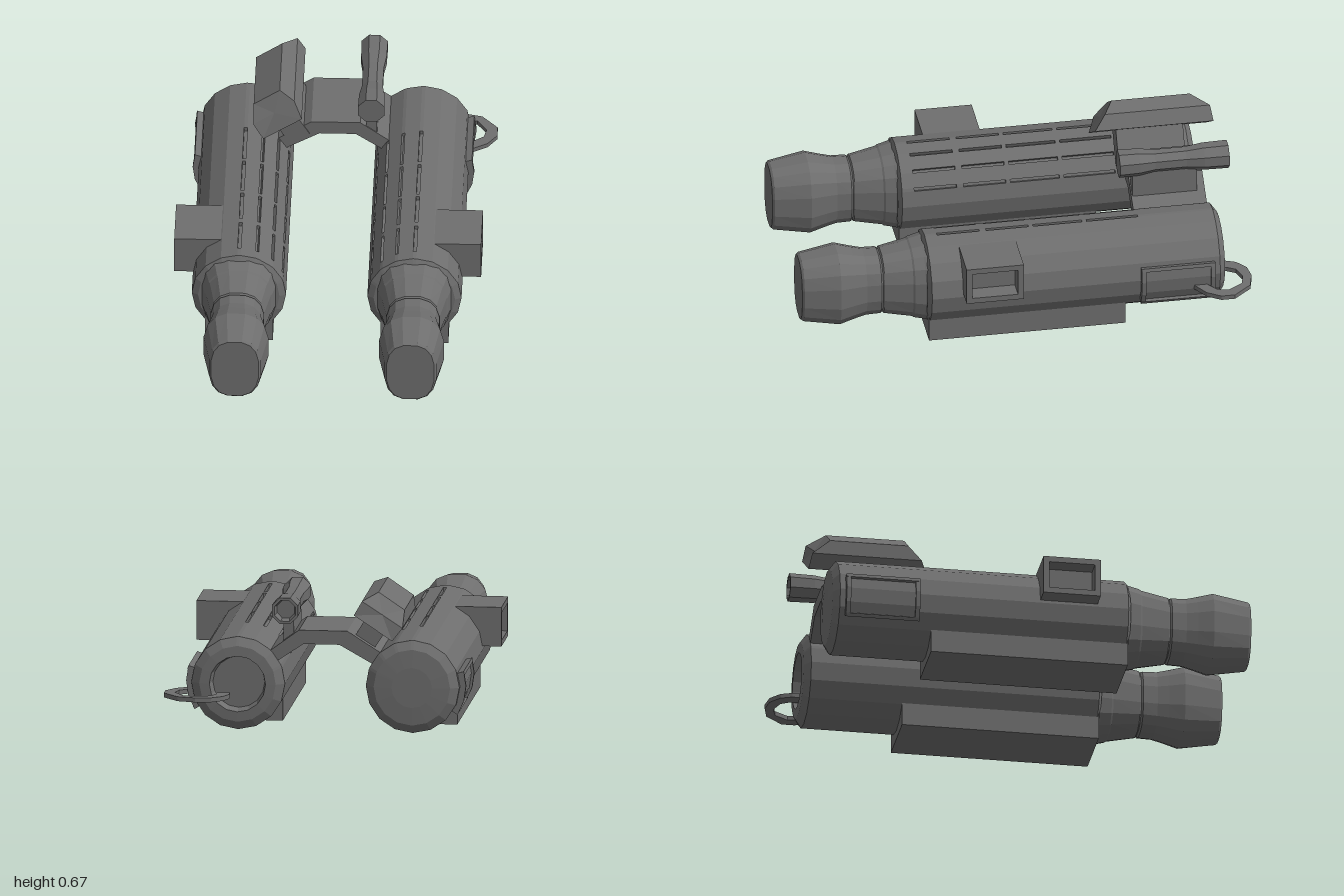
import * as THREE from 'three';

const gunmetal = new THREE.MeshStandardMaterial({ color: 0x6e6e6e, flatShading: true });
gunmetal.name = 'gunmetal grey';
const CY = 0.247, R = 0.208, DEG = Math.PI / 180;

function mesh(name, geometry, parent) {
  const m = new THREE.Mesh(geometry, gunmetal);
  m.name = name;
  parent.add(m);
  return m;
}

// Skin over rings of [x, y, z], counterclockwise seen from +z, ordered towards +z
function loft(rings) {
  const pos = [], n = rings[0].length;
  const mid = (r) => [0, 1, 2].map((k) => r.reduce((s, p) => s + p[k], 0) / n);
  const first = rings[0], last = rings[rings.length - 1], c0 = mid(first), c1 = mid(last);
  for (let i = 0; i < n; i++) {
    const j = (i + 1) % n;
    for (let k = 0; k + 1 < rings.length; k++) {
      const a = rings[k], b = rings[k + 1];
      pos.push(...a[i], ...a[j], ...b[j], ...a[i], ...b[j], ...b[i]);
    }
    pos.push(...c0, ...first[j], ...first[i], ...c1, ...last[i], ...last[j]);
  }
  const g = new THREE.BufferGeometry();
  g.setAttribute('position', new THREE.Float32BufferAttribute(pos, 3));
  g.computeVertexNormals();
  return g;
}

function prism(points, z0, z1, hole) {
  const s = new THREE.Shape(points.map((p) => new THREE.Vector2(...p)));
  if (hole) s.holes.push(new THREE.Path(hole.map((p) => new THREE.Vector2(...p))));
  return new THREE.ExtrudeGeometry(s, { depth: z1 - z0, bevelEnabled: false }).translate(0, 0, z0);
}

// Curved plate hugging the outer side of a tube
function sector(side, r, a0, a1, z0, z1) {
  const outer = [], inner = [];
  for (let i = 0; i <= 3; i++) {
    const a = (a0 + (a1 - a0) * i / 3) * DEG;
    outer.push([side * r * Math.cos(a), r * Math.sin(a)]);
    inner.unshift([side * 0.18 * Math.cos(a), 0.18 * Math.sin(a)]);
  }
  return prism([...outer, ...inner], z0, z1);
}

// 16-sided tube with four rows of sunken slots on its upper inner side
function tubeGeometry(side, recessed) {
  const ring = (z, r, cut) => {
    const pts = [];
    for (let k = 0; k < 16; k++) {
      const a = (90 + k * 22.5) * DEG;
      const row = side > 0 ? k : (16 - k) % 16;
      const put = (t, rad) => pts.push([rad * Math.cos(t), rad * Math.sin(t), z]);
      if (row < 4) {
        const w = 0.035, d = cut ? r - 0.018 : r;
        put(a - w, r); put(a - w, d); put(a + w, d); put(a + w, r);
      } else put(a, r);
    }
    return pts;
  };
  const rings = recessed ? [ring(-0.83, 0.115), ring(-0.885, 0.125)] : [ring(-0.888, 0.09)];
  rings.push(ring(-0.882, 0.17), ring(-0.855, R));
  for (const [z0, z1] of [[-0.52, -0.29], [-0.27, -0.05], [-0.03, 0.16], [0.19, 0.38]]) {
    rings.push(ring(z0, R), ring(z0, R, true), ring(z1, R, true), ring(z1, R));
  }
  rings.push(ring(0.435, R), ring(0.45, 0.18));
  return loft(rings);
}

// Waisted nozzle with a rounded-rectangle section
function nozzleGeometry() {
  const profile = [[0.43, 0.175, 0.19], [0.455, 0.163, 0.185], [0.5, 0.152, 0.175], [0.508, 0.146, 0.17],
    [0.632, 0.12, 0.148], [0.638, 0.114, 0.14], [0.646, 0.12, 0.147], [0.71, 0.118, 0.15],
    [0.76, 0.128, 0.162], [0.83, 0.145, 0.181], [0.99, 0.116, 0.156], [1, 0.107, 0.148]];
  const soft = (v) => Math.sign(v) * Math.pow(Math.abs(v), 0.78);
  return loft(profile.map(([z, w, h]) => Array.from({ length: 16 }, (_, i) => {
    const a = (i + 0.5) * 22.5 * DEG;
    return [w * soft(Math.cos(a)), h * soft(Math.sin(a)), z];
  })));
}

function makeBarrel(side, x) {
  const g = new THREE.Group();
  g.name = side > 0 ? 'leftBarrel' : 'rightBarrel';
  g.position.set(x, CY, 0);
  mesh('tube', tubeGeometry(side, side > 0), g);
  mesh('nozzle', nozzleGeometry(), g);
  mesh('baseBlock', new THREE.BoxGeometry(0.3, 0.2, 0.88), g).position.set(0, 0.1 - CY, 0);

  // Hollow box on the outer side
  const rect = (w, h) => [[-w, -h], [w, -h], [w, h], [-w, h]];
  const box = prism(rect(0.128, 0.088), 0, 0.21, rect(0.102, 0.062)).rotateY(Math.PI / 2);
  mesh('sideBox', box, g).position.set(side > 0 ? 0.08 : -0.29, 0.102, 0.168);
  mesh('sideBoxBack', new THREE.BoxGeometry(0.12, 0.13, 0.21), g).position.set(side * 0.15, 0.102, 0.168);

  // Rear side panel with a raised rim
  const panel = new THREE.Group();
  panel.name = 'sidePanel';
  g.add(panel);
  for (const [r, a0, a1, z0, z1] of [[0.222, -33, 17, -0.83, -0.5], [0.234, -33, -29, -0.83, -0.5],
    [0.234, 13, 17, -0.83, -0.5], [0.234, -33, 17, -0.83, -0.81], [0.234, -33, 17, -0.52, -0.5]]) {
    const m = mesh('panelPart', sector(1, r, a0, a1, z0, z1), panel);
    if (side < 0) m.geometry = sector(-1, r, a0, a1, z0, z1);
  }
  return g;
}

export function createModel() {
  const model = new THREE.Group();
  model.name = 'twinBarrelDevice';
  model.add(makeBarrel(-1, -0.41), makeBarrel(1, 0.365));

  // Arched bridge between the barrels
  mesh('bridge', prism([[-0.29, 0.32], [-0.25, 0.335], [-0.085, 0.428], [0.075, 0.428], [0.22, 0.33],
    [0.26, 0.37], [0.21, 0.405], [0.095, 0.49], [-0.12, 0.49], [-0.27, 0.395]], -0.855, -0.525), model);

  // Tilted wedge-ended block on its stem
  const section = [[-0.33, 0.468], [-0.16, 0.58], [-0.195, 0.642], [-0.26, 0.67], [-0.375, 0.592], [-0.375, 0.525]];
  const frontZ = [-0.42, -0.42, -0.47, -0.51, -0.51, -0.45], backZ = [-0.95, -0.95, -0.94, -0.86, -0.86, -0.94];
  mesh('tiltedBlock', loft([backZ, frontZ].map((zs) => section.map(([x, y], i) => [x, y, zs[i]]))), model);
  mesh('tiltedBlockStem', prism([[-0.225, 0.39], [-0.13, 0.43], [-0.205, 0.555], [-0.295, 0.5]], -0.82, -0.52), model);

  // Waisted octagonal sight with hollow rear end
  const sightProfile = [[-0.92, 0.042], [-0.96, 0.05], [-0.96, 0.063], [-0.85, 0.061], [-0.77, 0.05],
    [-0.63, 0.05], [-0.56, 0.061], [-0.47, 0.063]];
  mesh('sight', loft(sightProfile.map(([z, r]) => Array.from({ length: 8 }, (_, i) => {
    const a = (i + 0.5) * 45 * DEG;
    return [0.145 + r * Math.cos(a), 0.595 + r * Math.sin(a), z];
  }))), model);
  mesh('sightStem', prism([[0.12, 0.44], [0.17, 0.42], [0.166, 0.56], [0.124, 0.56]], -0.82, -0.53), model);

  // Flat hook at the rear of the left barrel
  const hook = prism([[0.4, -0.86], [0.4, -0.9], [0.42, -0.95], [0.47, -0.99], [0.54, -1], [0.62, -0.98],
    [0.69, -0.9], [0.69, -0.84], [0.65, -0.78], [0.57, -0.73], [0.57, -0.785], [0.63, -0.83], [0.642, -0.88],
    [0.6, -0.945], [0.54, -0.96], [0.48, -0.94], [0.457, -0.9], [0.457, -0.86]], -0.01, 0.01);
  mesh('hook', hook.rotateX(Math.PI / 2), model).position.y = 0.193;
  return model;
}
